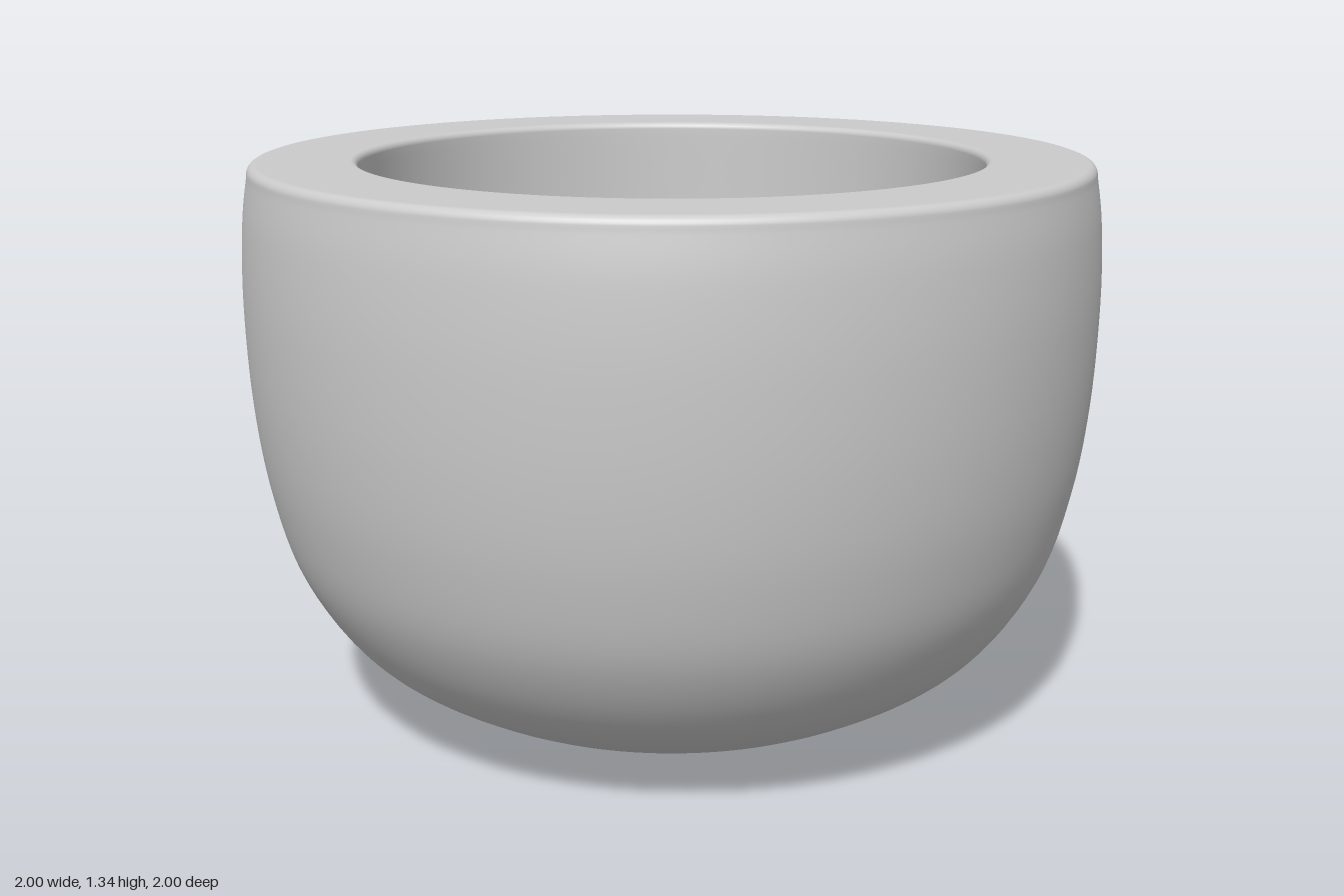
import * as THREE from 'three';

const SEGMENTS = 128;
const material = new THREE.MeshStandardMaterial({ color: 0xcccccc });
const vectors = (pairs) => pairs.map(([x, y]) => new THREE.Vector2(x, y));

// Quarter-round edge about (cx, cy), from angle a to angle b
function fillet(cx, cy, r, a, b, steps = 6) {
  return Array.from({ length: steps + 1 }, (_, i) => {
    const t = a + ((b - a) * i) / steps;
    return new THREE.Vector2(cx + r * Math.cos(t), cy + r * Math.sin(t));
  });
}

function lathe(name, points) {
  const mesh = new THREE.Mesh(new THREE.LatheGeometry(points, SEGMENTS), material);
  mesh.name = name;
  return mesh;
}

export function createModel() {
  const bowl = new THREE.Group();
  bowl.name = 'bowl';
  const top = 1.335;

  // Curved outer wall, running up to the rounded rim
  const outer = new THREE.SplineCurve(vectors([
    [0.4, 0], [0.61, 0.092], [0.78, 0.21], [0.9, 0.385], [0.96, 0.58],
    [0.99, 0.79], [1, 1.02], [0.993, 1.2], [0.978, 1.31],
  ])).getPoints(48);

  // Flat rim with softened edges
  const rim = [
    ...fillet(0.956, top - 0.022, 0.022, 0.15, Math.PI / 2),
    ...vectors([[0.95, top], [0.755, top]]),
    ...fillet(0.745, top - 0.016, 0.016, Math.PI / 2, Math.PI),
  ];

  // Hollow, following the outer wall at an even thickness
  const inner = new THREE.SplineCurve(vectors([
    [0.729, 1.3], [0.73, 1.02], [0.722, 0.82], [0.7, 0.66],
    [0.655, 0.51], [0.575, 0.395], [0.455, 0.315], [0.3, 0.245],
  ])).getPoints(48);

  bowl.add(lathe('wall', [...outer, ...rim, ...inner]));

  // Flat foot underneath and flat floor inside
  bowl.add(lathe('foot', vectors([[0, 0], [0.4, 0]])));
  bowl.add(lathe('floor', vectors([[0.3, 0.245], [0, 0.245]])));
  return bowl;
}
